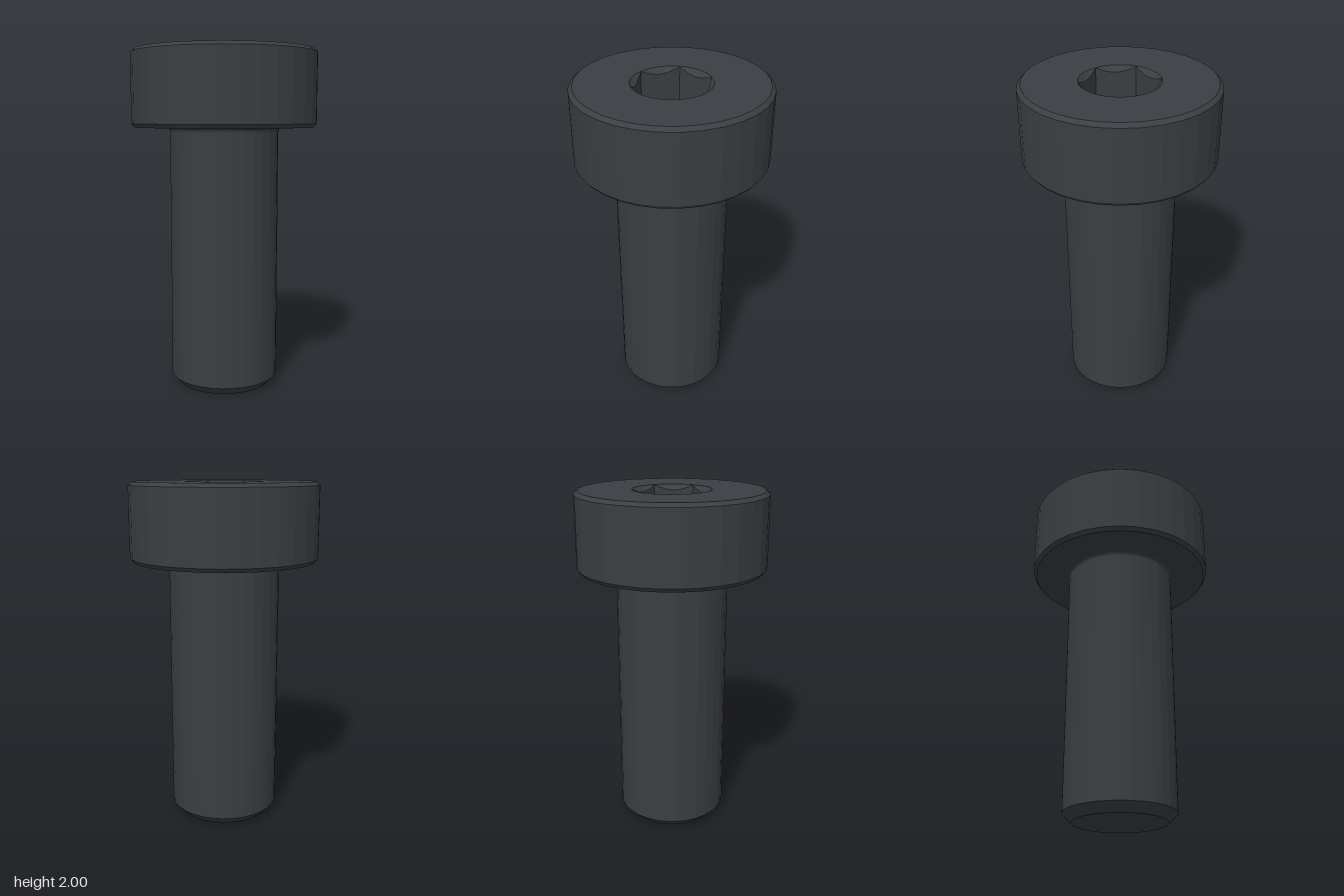
import * as THREE from 'three';

const SIDES = 32, STEPS = 96;
const TOP = 2, RIM = 0.525, SOCKET = 0.224, FLOOR = 1.65;

// Radius of a regular polygon (corner on +x) at a given angle
function polygonRadius(corner, sides, angle) {
  const sector = (2 * Math.PI) / sides;
  return (corner * Math.cos(sector / 2)) / Math.cos((angle % sector) - sector / 2);
}

// Skin between rings; each ring maps an angle to [radius, y]
function loft(rings) {
  const pos = [], index = [];
  for (const ring of rings) {
    for (let i = 0; i < STEPS; i++) {
      const a = (i / STEPS) * 2 * Math.PI;
      const [r, y] = ring(a);
      pos.push(r * Math.cos(a), y, -r * Math.sin(a));
    }
  }
  for (let k = 0; k < rings.length - 1; k++) {
    for (let i = 0; i < STEPS; i++) {
      const j = (i + 1) % STEPS;
      const a = k * STEPS + i, b = k * STEPS + j;
      index.push(a, b, a + STEPS, b, b + STEPS, a + STEPS);
    }
  }
  const geo = new THREE.BufferGeometry();
  geo.setAttribute('position', new THREE.Float32BufferAttribute(pos, 3));
  geo.setIndex(index);
  geo.computeVertexNormals();
  return geo;
}

export function createModel() {
  const group = new THREE.Group();
  group.name = 'socketHeadScrew';
  const material = new THREE.MeshStandardMaterial({ color: 0x3b3e42, flatShading: true });

  const add = (name, geometry) => {
    const mesh = new THREE.Mesh(geometry, material);
    mesh.name = name;
    group.add(mesh);
  };
  const lathe = (points) =>
    new THREE.LatheGeometry(points.map(([r, y]) => new THREE.Vector2(r, y)), SIDES);

  // Shank with chamfered tip and a small fillet under the head
  const shank = [[0, 0], [0.27, 0], [0.321, 0.051]];
  for (let i = 0; i <= 4; i++) {
    const a = (i / 4) * (Math.PI / 2);
    shank.push([0.347 - 0.026 * Math.cos(a), 1.524 + 0.026 * Math.sin(a)]);
  }
  add('shank', lathe(shank));

  // Head sides with chamfered edges
  add('head', lathe([[0.347, 1.55], [0.53, 1.55], [0.547, 1.572], [0.547, 1.98], [RIM, TOP]]));

  // Top face, conical countersink, hexagonal walls and floor
  const hex = (a) => polygonRadius(SOCKET, 6, a);
  add('topFaceAndHexSocket', loft([
    (a) => [polygonRadius(RIM, SIDES, a), TOP],
    () => [SOCKET, TOP],
    (a) => [hex(a), TOP - (SOCKET - hex(a))],
    (a) => [hex(a), FLOOR],
    () => [0, FLOOR],
  ]));

  return group;
}
